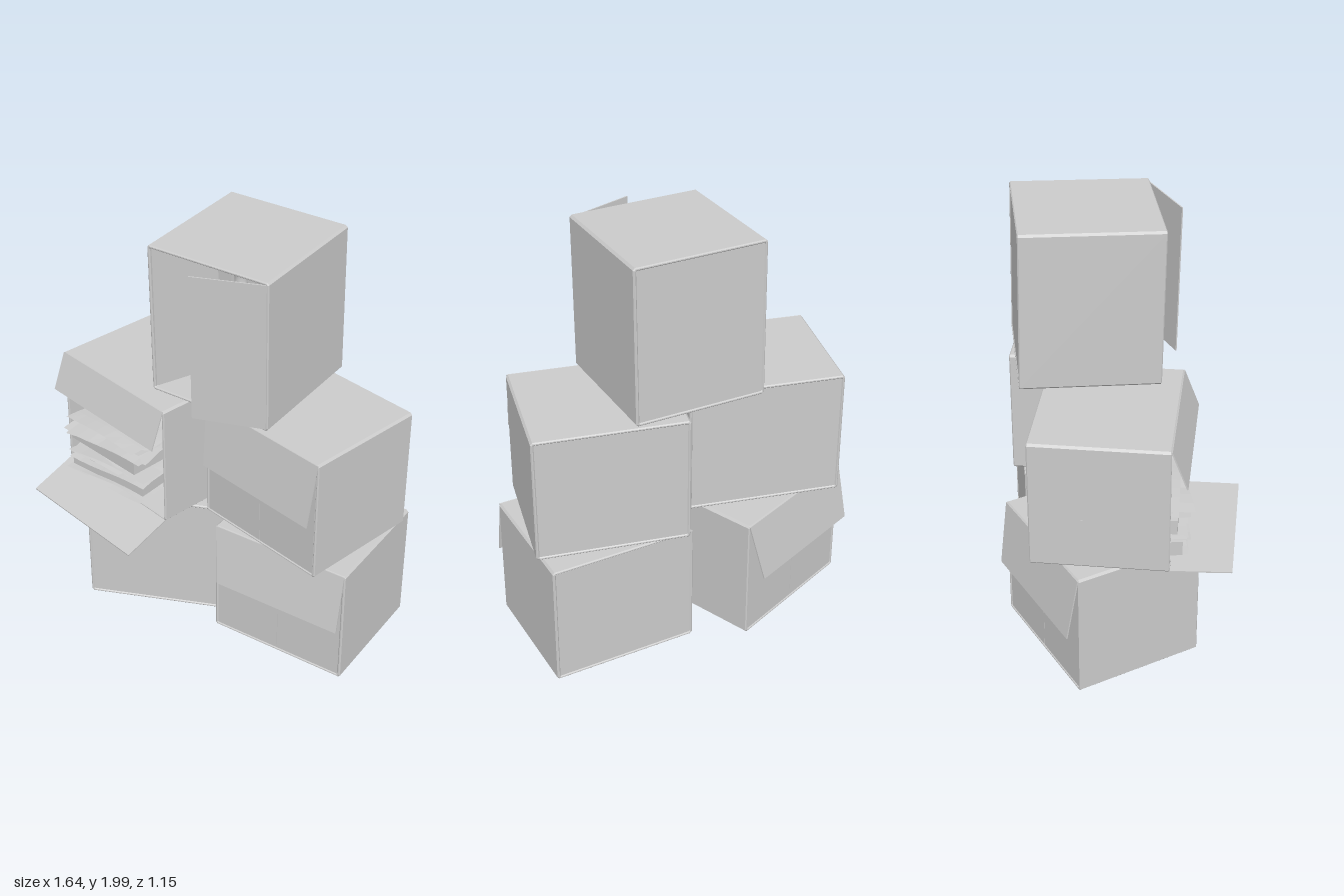
import * as THREE from 'three';

const grey = new THREE.MeshStandardMaterial({ color: 0xcccccc, side: THREE.DoubleSide });
const flat = new THREE.MeshStandardMaterial({ color: 0xcccccc, side: THREE.DoubleSide, flatShading: true });
const WALL = 0.015;

// Small seeded generator, returns -1..1
let seed = 7;
const rnd = () => {
  seed = (seed * 16807) % 2147483647;
  return (seed / 2147483647) * 2 - 1;
};

function add(parent, name, geometry, material = flat) {
  const mesh = new THREE.Mesh(geometry, material);
  mesh.name = name;
  parent.add(mesh);
  return mesh;
}

// Thin cardboard sheet cut to the given corners
function sheet(points, thickness = 0.006) {
  const shape = new THREE.Shape(points.map(([x, y]) => new THREE.Vector2(x, y)));
  const g = new THREE.ExtrudeGeometry(shape, { depth: thickness, bevelEnabled: false });
  return g.translate(0, 0, -thickness / 2);
}

// Rectangle with chamfered corners, standing on y = 0
function outline(Type, w, h, inset, c) {
  const x = w / 2 - inset, b = inset, t = h - inset;
  return new Type([
    [-x + c, b], [x - c, b], [x, b + c], [x, t - c],
    [x - c, t], [-x + c, t], [-x, t - c], [-x, b + c],
  ].map(([px, py]) => new THREE.Vector2(px, py)));
}

// Carton lying on its side with its mouth towards local +z
function carton(name, { w, h, d, at, turn, tilt = 0, closed = false }) {
  const box = new THREE.Group();
  box.name = name;
  box.position.set(...at);
  box.rotation.set(tilt, turn, 0, 'YXZ');

  const ring = outline(THREE.Shape, w, h, 0, 0.01);
  ring.holes.push(outline(THREE.Path, w, h, WALL, 0.003));
  const bevel = 0.005;
  const walls = new THREE.ExtrudeGeometry(ring, {
    depth: d - 2 * bevel, bevelSize: bevel, bevelThickness: bevel, bevelOffset: -bevel, bevelSegments: 1,
  });
  add(box, 'cartonWalls', walls.translate(0, 0, -d / 2 + bevel));

  const back = add(box, 'cartonBase', new THREE.BoxGeometry(w - 2 * WALL, h - 2 * WALL, WALL));
  back.position.set(0, h / 2, -d / 2 + WALL / 2 + 0.004);

  // Two inner flaps meeting in the middle of a shut mouth
  if (closed) {
    const half = w / 2 - WALL;
    for (const s of [-1, 1]) {
      const door = add(box, 'closedFlap', new THREE.BoxGeometry(half - 0.002, h - 2 * WALL, 0.008));
      door.position.set(s * half / 2, h / 2, d / 2 - 0.008);
    }
  }
  box.userData = { w, h, d };
  return box;
}

// Flap hinged on a horizontal edge; swing 0 hangs straight down
function edgeFlap(box, name, y, length, swing, leftShift = 0, rightShift = 0) {
  const { w, d } = box.userData;
  const x = w / 2 - 0.005;
  const flap = add(box, name, sheet([[-x, 0], [-x + leftShift, -length], [x + rightShift, -length], [x, 0]]));
  flap.position.set(0, y, d / 2);
  flap.rotation.x = -swing;
}

// Flap hinged on an upright edge
function sideFlap(box, name, side, lowLength, highLength, angle, drop = 0.02) {
  const { w, h, d } = box.userData;
  const flap = add(box, name, sheet([[0, 0.01], [lowLength, 0.01 + drop / 2], [highLength, h - 0.012 - drop], [0, h - 0.012]]));
  flap.position.set(side * (w / 2 - 0.007), 0, d / 2 - 0.004);
  flap.rotation.y = angle;
}

// Loose, slightly wavy sheets of paper
function looseSheets(parent, y0, y1, count) {
  for (let i = 0; i < count; i++) {
    const g = new THREE.PlaneGeometry(0.47, 0.5, 7, 7).rotateX(-Math.PI / 2);
    const p = g.attributes.position;
    const phase = rnd() * 3;
    for (let k = 0; k < p.count; k++) {
      const x = p.getX(k), z = p.getZ(k);
      p.setY(k, 0.007 * Math.sin(x * 11 + phase) + 0.006 * Math.cos(z * 13 + phase * 2));
      p.setX(k, x + 0.006 * rnd());
    }
    g.computeVertexNormals();
    const page = add(parent, 'looseSheet', g);
    page.position.set(rnd() * 0.025, y0 + ((y1 - y0) * i) / Math.max(1, count - 1), rnd() * 0.03);
    page.rotation.y = rnd() * 0.16;
  }
}

function paperStack() {
  const stack = new THREE.Group();
  stack.name = 'paperStack';
  looseSheets(stack, 0.012, 0.022, 2);
  [0.055, 0.183].forEach((y, i) => {
    const ream = add(stack, 'paperBundle', new THREE.BoxGeometry(0.45, 0.07, 0.48));
    ream.position.y = y;
    ream.rotation.y = i ? -0.06 : 0.05;
    looseSheets(stack, y + 0.046, y + 0.075, 5);
  });
  return stack;
}

export function createModel() {
  const model = new THREE.Group();
  model.name = 'cartonPile';

  // Bottom row
  const lowerRight = carton('lowerRightCarton', {
    w: 0.715, h: 0.617, d: 0.62, at: [-0.353, 0.003, -0.115], turn: 0.38 + Math.PI, closed: true,
  });
  edgeFlap(lowerRight, 'hangingFlap', 0.612, 0.295, 0.2, 0.045);

  const lowerLeft = carton('lowerLeftCarton', {
    w: 0.7, h: 0.605, d: 0.61, at: [0.447, 0.015, -0.125], turn: 0, closed: true,
  });
  edgeFlap(lowerLeft, 'hangingFlap', 0.602, 0.295, 0.18, 0.045);

  // Middle row
  const middleRight = carton('middleRightCarton', {
    w: 0.728, h: 0.61, d: 0.613, at: [-0.38, 0.632, -0.085], turn: -0.243,
  });
  edgeFlap(middleRight, 'upperFlap', 0.607, 0.19, 0.37);
  edgeFlap(middleRight, 'lowerFlap', 0.004, 0.272, Math.PI / 2 - 0.12, 0.065, 0.055);
  sideFlap(middleRight, 'foldedInFlap', 1, 0.34, 0.13, 2.24);
  const papers = paperStack();
  papers.position.set(-0.085, 0.012, 0.085);
  papers.rotation.y = 0.1;
  middleRight.add(papers);

  const middleLeft = carton('middleLeftCarton', {
    w: 0.705, h: 0.61, d: 0.607, at: [0.413, 0.628, -0.105], turn: -0.23, closed: true,
  });
  edgeFlap(middleLeft, 'hangingFlap', 0.607, 0.305, 0.19, 0.04);

  // Top carton holding a vase
  const top = carton('topCarton', {
    w: 0.625, h: 0.735, d: 0.635, at: [0.07, 1.256, -0.138], turn: -0.02, tilt: 0.02,
  });
  sideFlap(top, 'openFlap', 1, 0.34, 0.34, -2.81, 0.004);
  sideFlap(top, 'foldedInFlap', -1, 0.34, 0.34, 1.13);
  const profile = new THREE.SplineCurve([
    [0.075, 0.016], [0.1, 0.05], [0.18, 0.12], [0.222, 0.19], [0.19, 0.24], [0.115, 0.3],
    [0.065, 0.4], [0.035, 0.5], [0.028, 0.57], [0.045, 0.6], [0.07, 0.62],
  ].map(([x, y]) => new THREE.Vector2(x, y))).getPoints(40);
  const vase = add(top, 'vase', new THREE.LatheGeometry([new THREE.Vector2(0, 0.016), ...profile], 40), grey);
  vase.position.set(0, 0, 0.06);

  model.add(lowerRight, lowerLeft, middleRight, middleLeft, top);
  return model;
}
